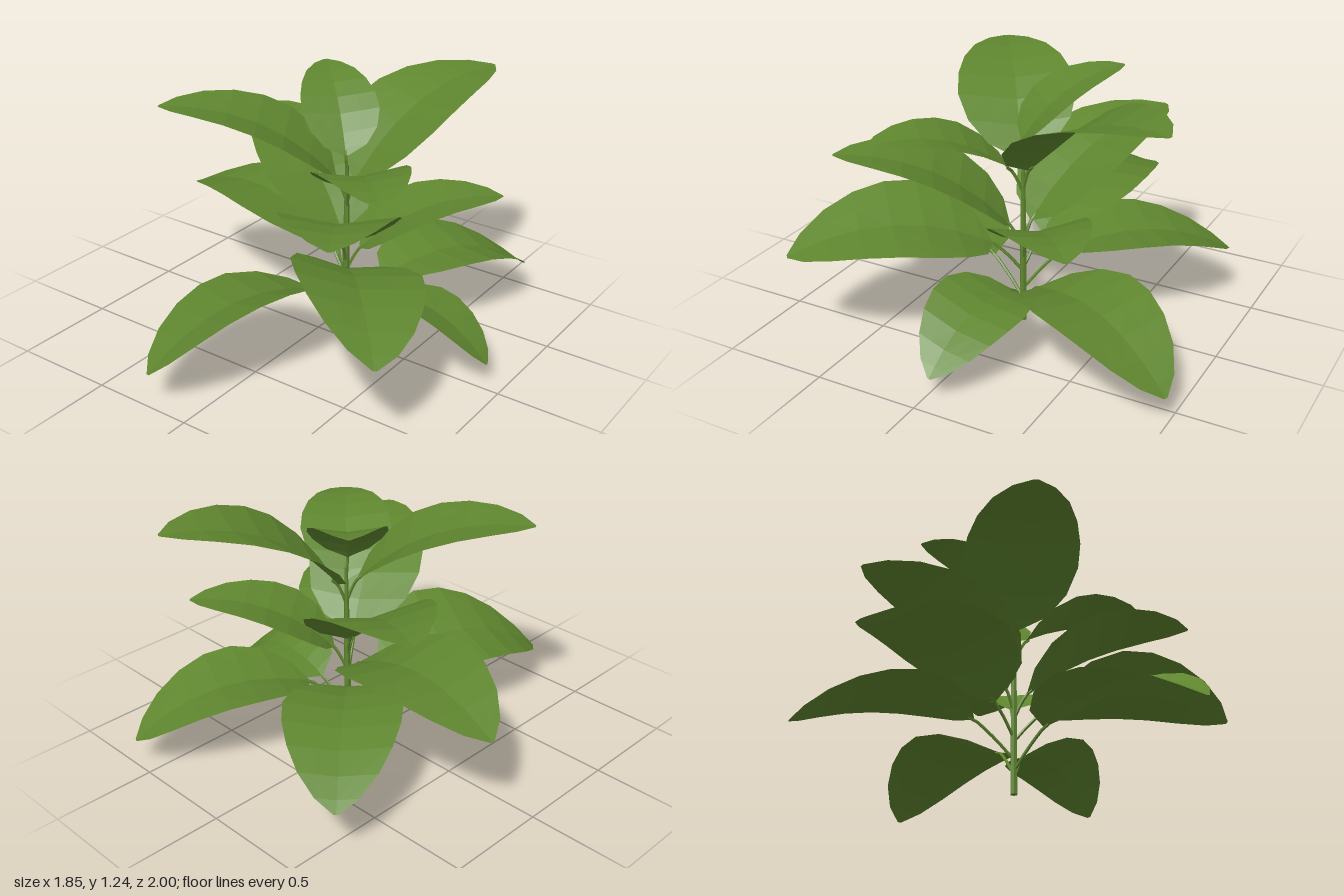
import * as THREE from 'three';

const green = new THREE.MeshStandardMaterial({ color: 0x5f862f, side: THREE.DoubleSide });
green.name = 'leaf green';

const V = (a) => new THREE.Vector3(...a);
const STEM_X = 0.12, STEM_Z = -0.06;

// Leaf outline: position along the midrib and half width, as fractions of length
const OUTLINE = [
  [0, 0.01], [0.06, 0.17], [0.18, 0.27], [0.34, 0.315], [0.5, 0.305],
  [0.66, 0.265], [0.81, 0.2], [0.93, 0.11], [1, 0.012],
];

// Each leaf: blade base, tip, roll in radians, arch as a fraction of length
const LEAVES = [
  // bottom tier
  { base: [0.24, 0.27, -0.2], tip: [0.6, 0.13, -0.99], roll: 0, arch: 0.15 },
  { base: [-0.02, 0.35, -0.2], tip: [-0.6, 0.25, -0.83], roll: 0, arch: 0.12 },
  { base: [0.08, 0.29, 0.12], tip: [-0.2, 0.17, 1.0], roll: 0.25, arch: 0.16 },
  { base: [0.27, 0.24, -0.09], tip: [0.92, 0.11, -0.03], roll: -0.25, arch: 0.16 },
  // lower middle tier
  { base: [0.0, 0.43, -0.1], tip: [-0.93, 0.48, -0.23], roll: 0.03, arch: 0.14 },
  { base: [0.2, 0.42, 0.06], tip: [0.83, 0.46, 0.77], roll: -0.2, arch: 0.13 },
  { base: [0.17, 0.45, -0.1], tip: [0.68, 0.69, -0.56], roll: 0, arch: 0.12 },
  // upper middle tier
  { base: [0.08, 0.52, -0.08], tip: [-0.66, 0.92, -0.44], roll: 0, arch: 0.12 },
  { base: [0.14, 0.5, 0], tip: [0.55, 0.87, 0.69], roll: 0, arch: 0.12 },
  // top tier
  { base: [0.16, 0.79, -0.02], tip: [0.64, 0.99, 0.44], roll: 0, arch: 0.13 },
  { base: [0.08, 0.82, -0.03], tip: [-0.6, 1.16, 0.42], roll: 0, arch: 0.12 },
  { base: [0.14, 0.8, -0.1], tip: [0.42, 1.21, -0.88], roll: 0, arch: 0.13 },
  { base: [0.12, 0.93, -0.05], tip: [-0.24, 1.24, -0.39], roll: 0, arch: 0.12 },
];

function faceted(geometry) {
  const flat = geometry.toNonIndexed();
  flat.computeVertexNormals();
  return flat;
}

// Arched, slightly cupped blade, bent from a flat grid
function bladeGeometry({ base, tip, roll, arch }) {
  const start = V(base);
  const chord = V(tip).sub(start);
  const length = chord.length();
  const dir = chord.clone().normalize();
  const flatSide = new THREE.Vector3(0, 1, 0).cross(dir).normalize();
  const flatUp = dir.clone().cross(flatSide);
  const side = flatSide.clone().multiplyScalar(Math.cos(roll)).addScaledVector(flatUp, Math.sin(roll));
  const up = dir.clone().cross(side);

  const rows = OUTLINE.length - 1;
  const geometry = new THREE.PlaneGeometry(2, 1, 4, rows);
  const pos = geometry.attributes.position;
  for (let i = 0; i < pos.count; i++) {
    const u = -pos.getX(i);
    const [s, half] = OUTLINE[Math.round((pos.getY(i) + 0.5) * rows)];
    const p = start.clone()
      .addScaledVector(chord, s)
      .addScaledVector(flatUp, 4 * arch * length * s * (1 - s))
      .addScaledVector(side, u * half * length)
      .addScaledVector(up, 0.2 * Math.abs(u) * half * length * (1 - 0.5 * s));
    pos.setXYZ(i, p.x, p.y, p.z);
  }
  return faceted(geometry);
}

// Thin stalk curving from the stem to the blade
function stalkGeometry({ base, tip }) {
  const end = V(base);
  const reach = Math.hypot(end.x - STEM_X, end.z - STEM_Z);
  const root = new THREE.Vector3(STEM_X, end.y - 0.1 - reach * 0.4, STEM_Z);
  const bend = root.clone().lerp(end, 0.5);
  bend.y += 0.01;
  const inside = end.clone().lerp(V(tip), 0.03);
  inside.y += 0.012;
  const path = new THREE.CatmullRomCurve3([root, bend, end, inside]);
  return faceted(new THREE.TubeGeometry(path, 6, 0.008, 5, false));
}

export function createModel() {
  const plant = new THREE.Group();
  plant.name = 'pottedStyleLeafPlant';

  const add = (parent, name, geometry) => {
    const mesh = new THREE.Mesh(geometry, green);
    mesh.name = name;
    parent.add(mesh);
    return mesh;
  };

  // Upright stem, thinner toward the top
  const lower = add(plant, 'lowerStem', faceted(new THREE.CylinderGeometry(0.016, 0.018, 0.5, 6)));
  lower.position.set(STEM_X, 0.25, STEM_Z);
  const upper = add(plant, 'upperStem', faceted(new THREE.CylinderGeometry(0.008, 0.016, 0.38, 6)));
  upper.position.set(STEM_X, 0.69, STEM_Z);

  LEAVES.forEach((spec, i) => {
    const leaf = new THREE.Group();
    leaf.name = `leaf${i + 1}`;
    add(leaf, 'blade', bladeGeometry(spec));
    add(leaf, 'stalk', stalkGeometry(spec));
    plant.add(leaf);
  });

  return plant;
}
